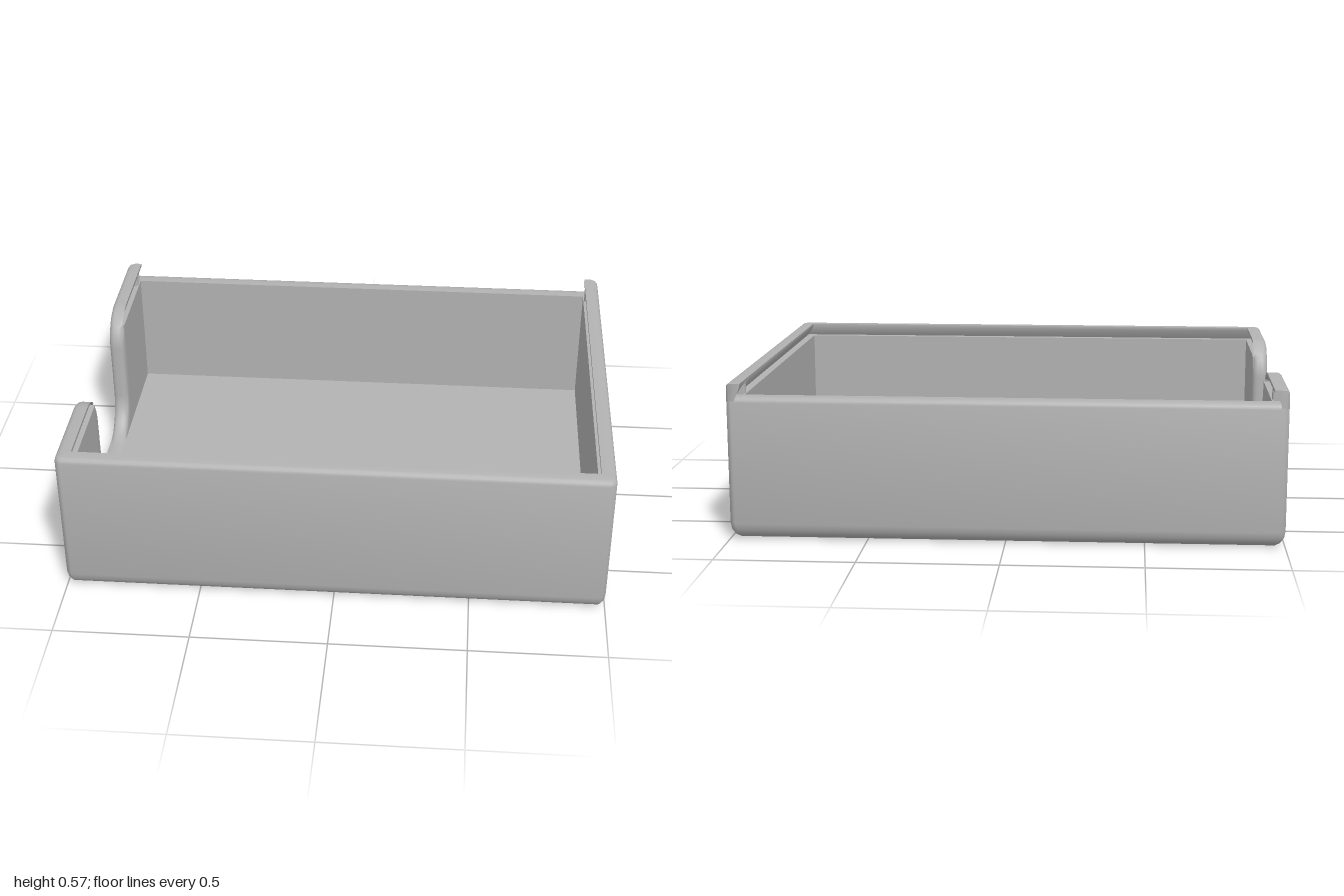
import * as THREE from 'three';
import { toCreasedNormals } from 'three/addons/utils/BufferGeometryUtils.js';

const HX = 1, HZ = 0.745, TOP = 0.575;   // half width, half depth, height
const WALL = 0.06, FLOOR = 0.06;         // thicknesses
const CORNER = 0.03, EDGE = 0.02;        // upright corner and rim radii
const SLOT = 0.525;                      // bottom of the lid groove
const Q = Math.PI / 2;

// Wall section as [inset, y, zShift], running up the outside, over the rim and down the inside.
// h is the rim height, (nz, ny) points from the rim into the wall.
function section(h, nz = 0, ny = -1) {
  const pts = [];
  for (let k = 0; k <= 4; k++) {         // rounded bottom edge
    const u = (k / 4) * Q;
    pts.push([0.06 * (1 - Math.sin(u)), 0.06 * (1 - Math.cos(u)), nz * EDGE]);
  }
  const rim = (u) => {
    const d = EDGE * (1 - Math.sin(u));
    return [EDGE * (1 - Math.cos(u)), Math.max(h + ny * d, FLOOR), nz * d];
  };
  for (let k = 0; k <= 3; k++) pts.push(rim((k / 3) * Q));
  if (h < SLOT - 0.002) {                // rounded inner edge, below the groove
    for (let k = 3; k >= 0; k--) {
      const [i, y, z] = rim((k / 3) * Q);
      pts.push([WALL - i, y, z]);
    }
  } else {                               // overhanging lip and undercut groove
    for (const [i, y] of [[0.055, TOP], [0.055, TOP - 0.012], [0.03, SLOT], [WALL, SLOT]])
      pts.push([i, Math.min(y, h), 0]);
  }
  pts.push([WALL, FLOOR, nz * EDGE]);
  return pts;
}

// Column of points around one rounded corner
function cornerColumns(sx, sz, from, h) {
  return Array.from({ length: 7 }, (_, k) => {
    const a = from + (k / 6) * Q;
    return section(h).map(([i, y]) => {
      const c = Math.max(CORNER, i), r = Math.max(CORNER - i, 0);
      return [sx * (HX - c) + r * Math.cos(a), y, sz * (HZ - c) + r * Math.sin(a)];
    });
  });
}

// Column on a straight side wall
const sideColumn = (sx, z, h, nz, ny) =>
  section(h, nz, ny).map(([i, y, dz]) => [sx * (HX - i), y, z + dz]);

// Thumb notch half outline: rounded shoulder, straight side, rounded foot
function notchOutline() {
  const out = [], N = 12, foot = FLOOR + 0.005;
  for (let k = 0; k <= N; k++) {
    const t = (k / N) * Q, s = Math.sin(t), c = Math.cos(t);
    out.push([0.4 - 0.14 * s, TOP - 0.14 + 0.14 * c, s, -c]);
  }
  for (let k = N; k >= 0; k--) {
    const t = (k / N) * Q, s = Math.sin(t), c = Math.cos(t);
    out.push([0.11 + 0.15 * s, foot + 0.15 - 0.15 * c, s, -c]);
  }
  return out;
}

// Closed skin through a ring of columns
function loft(columns) {
  const n = columns[0].length, index = [];
  columns.forEach((_, i) => {
    const a = i * n, b = ((i + 1) % columns.length) * n;
    for (let j = 0; j < n - 1; j++)
      index.push(a + j, a + j + 1, b + j, b + j, a + j + 1, b + j + 1);
  });
  const g = new THREE.BufferGeometry();
  g.setAttribute('position', new THREE.Float32BufferAttribute(columns.flat(2), 3));
  g.setIndex(index);
  return toCreasedNormals(g, 0.6);
}

export function createModel() {
  const group = new THREE.Group();
  const grey = new THREE.MeshStandardMaterial({ color: 0xb2b2b2 });
  grey.name = 'plain grey';
  const add = (name, geometry, x = 0, y = 0, z = 0) => {
    const m = new THREE.Mesh(geometry, grey);
    m.name = name;
    m.position.set(x, y, z);
    group.add(m);
  };

  // Walls: front corners, notched side, low back wall
  const notch = notchOutline(), back = -HZ + WALL;
  add('walls', loft([
    ...cornerColumns(1, 1, 0, TOP),
    ...cornerColumns(-1, 1, Q, TOP),
    ...notch.map(([z, h, nz, ny]) => sideColumn(-1, z, h, nz, ny)),
    ...notch.slice().reverse().map(([z, h, nz, ny]) => sideColumn(-1, -z, h, -nz, ny)),
    sideColumn(-1, back, TOP),
    sideColumn(-1, back, SLOT),
    ...cornerColumns(-1, -1, 2 * Q, SLOT),
    ...cornerColumns(1, -1, 3 * Q, SLOT),
    sideColumn(1, back, SLOT),
    sideColumn(1, back, TOP),
  ]));

  // Floor
  add('floor', new THREE.BoxGeometry(2 * (HX - WALL), FLOOR, 2 * (HZ - WALL)), 0, FLOOR / 2, 0);

  for (const s of [-1, 1]) {
    // Lip ends running out over the low back wall
    const profile = [[0, SLOT - EDGE], ...section(TOP).slice(5, 12), [0.03, SLOT - EDGE]];
    const shape = new THREE.Shape(profile.map(([i, y]) => new THREE.Vector2(s * (HX - i), y)));
    const lip = new THREE.ExtrudeGeometry(shape, { depth: WALL, steps: 10, bevelEnabled: false });
    const p = lip.attributes.position;
    for (let k = 0; k < p.count; k++) {   // follow the rounded upright corner
      const d = Math.max(CORNER - p.getZ(k), 0);
      const limit = HX - CORNER + Math.sqrt(Math.max(CORNER * CORNER - d * d, 0));
      p.setX(k, s * Math.min(Math.abs(p.getX(k)), limit));
    }
    add('lipEnd', toCreasedNormals(lip, 0.6), 0, 0, -HZ);

    // Small catch bump in the groove
    add('catchBump', new THREE.CylinderGeometry(0.012, 0.012, 0.045, 16), s * 0.955, SLOT + 0.02, -0.65);
  }
  return group;
}
